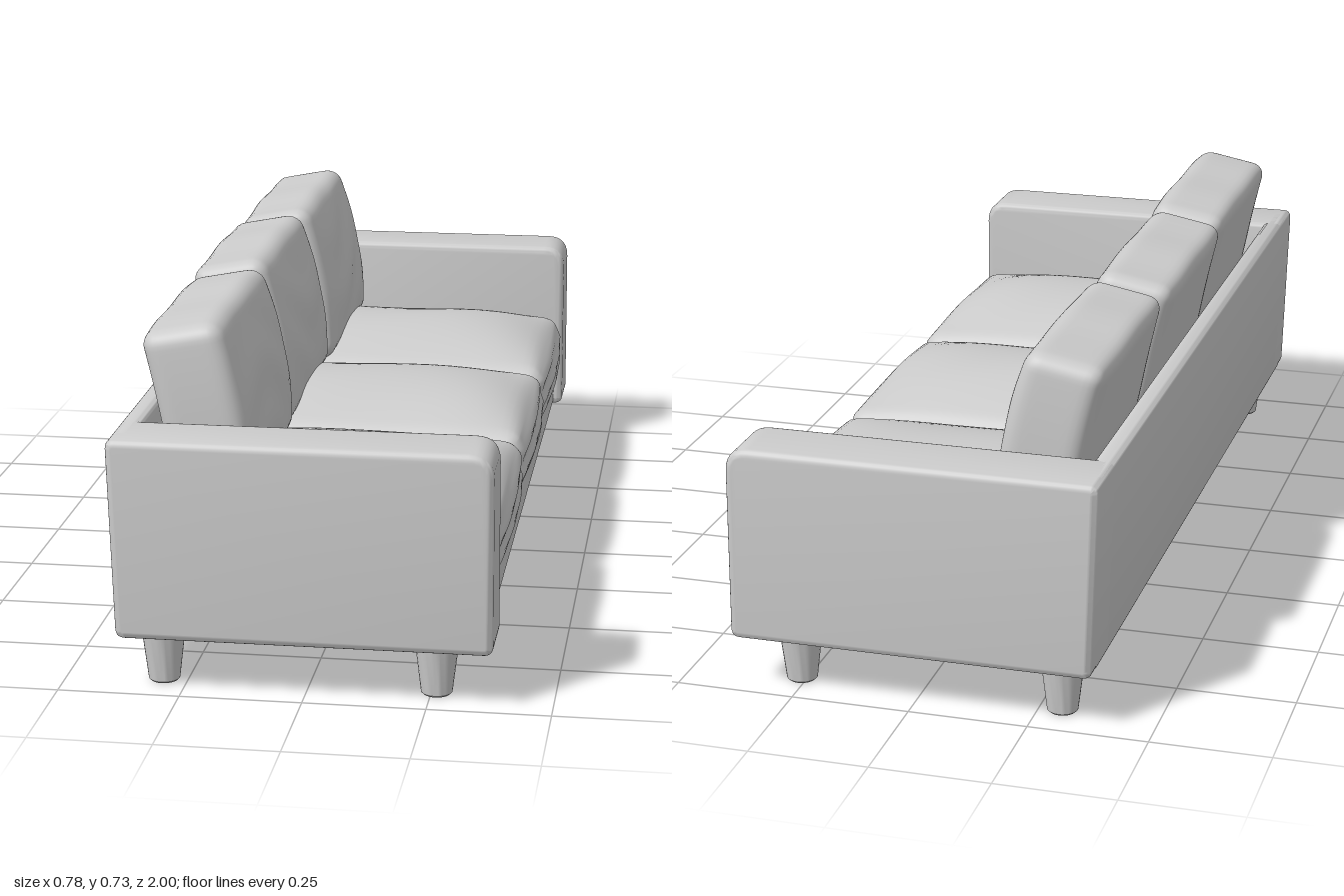
import * as THREE from 'three';
import { mergeVertices, toCreasedNormals } from 'three/addons/utils/BufferGeometryUtils.js';

const material = new THREE.MeshStandardMaterial({ color: 0xcccccc });

function addMesh(parent, name, geometry) {
  const mesh = new THREE.Mesh(geometry, material);
  mesh.name = name;
  parent.add(mesh);
  return mesh;
}

// Upholstered panel: side profile of [x, y, corner radius], extruded along z with soft edges
function panelGeometry(corners, z0, z1, bevel) {
  const pts = corners.map(([x, y]) => new THREE.Vector2(x, y));
  const n = pts.length;
  const shape = new THREE.Shape();
  pts.forEach((p, i) => {
    const r = corners[i][2];
    const towards = (q) => q.clone().sub(p).setLength(r).add(p);
    const a = towards(pts[(i + n - 1) % n]);
    const b = towards(pts[(i + 1) % n]);
    if (i === 0) shape.moveTo(a.x, a.y);
    else shape.lineTo(a.x, a.y);
    shape.quadraticCurveTo(p.x, p.y, b.x, b.y);
  });
  shape.closePath();
  const geometry = new THREE.ExtrudeGeometry(shape, {
    depth: z1 - z0 - 2 * bevel, bevelEnabled: true, bevelSize: bevel,
    bevelThickness: bevel, bevelOffset: -bevel, bevelSegments: 5, curveSegments: 7,
  });
  geometry.translate(0, 0, z0 + bevel);
  return toCreasedNormals(geometry, 0.7);
}

// Rounded soft box; deform(p, u, v, w) moves each point, with u, v, w in -1..1
function cushionGeometry(size, segments, radius, deform) {
  const box = new THREE.BoxGeometry(2, 2, 2, ...segments);
  box.deleteAttribute('uv');
  box.deleteAttribute('normal');
  const geometry = mergeVertices(box);
  const pos = geometry.attributes.position;
  const half = new THREE.Vector3(...size).multiplyScalar(0.5);
  const inner = half.clone().subScalar(radius);
  const spread = (s) => 0.4 * s + 0.6 * Math.sin((s * Math.PI) / 2);
  const p = new THREE.Vector3();
  const core = new THREE.Vector3();
  for (let i = 0; i < pos.count; i++) {
    p.fromBufferAttribute(pos, i);
    p.set(spread(p.x), spread(p.y), spread(p.z)).multiply(half);
    core.copy(p).clamp(inner.clone().negate(), inner);
    p.sub(core).setLength(radius).add(core);
    deform(p, p.x / half.x, p.y / half.y, p.z / half.z);
    pos.setXYZ(i, p.x, p.y, p.z);
  }
  geometry.computeVertexNormals();
  return geometry;
}

// Seat cushion: crowned top, creased front
function seatGeometry(width, seed) {
  return cushionGeometry([0.71, 0.14, width], [32, 14, 36], 0.035, (p, u, v, w) => {
    const top = Math.max(0, v);
    p.y += 0.062 * top * (1 - u ** 4) * (1 - w * w);
    p.y += 0.003 * top * Math.sin(5 * u + 3 * w + seed) * (1 - w * w);
    const front = Math.max(0, u) ** 4;
    p.x += front * (0.012 * (1 - w * w) * (1 - v * v)
      + 0.004 * Math.sin(9 * v + 2.5 * w + seed) * (1 - v * v));
    p.z += 0.004 * Math.sign(w) * Math.abs(w) ** 3 * (1 - v * v);
  });
}

// Back cushion: thick in the middle, pinched at the seams, with loose folds in front
function backCushionGeometry(width, seed) {
  return cushionGeometry([0.165, 0.37, width], [14, 32, 36], 0.032, (p, u, v, w) => {
    const puff = (1 - v * v) * (1 - w ** 4);
    p.x += 0.014 * u * puff;
    p.x -= 0.012 * Math.max(0, v) ** 2;
    p.x -= 0.014 * Math.max(0, u) * Math.max(0, -v) ** 2;
    const fold = Math.sin(7 * v + 3 * Math.sin(2.2 * w + seed) + seed * 2);
    p.x += 0.0035 * Math.max(0, u) * fold * (1 - v * v) * (1 - w * w);
    p.y += 0.006 * Math.max(0, v) * (1 - w * w);
    p.y += 0.002 * v * Math.sin(6 * w + seed);
    p.z -= 0.008 * Math.sign(w) * (v * v) * Math.abs(w);
  });
}

export function createModel() {
  const sofa = new THREE.Group();
  sofa.name = 'sofa';

  // Arms, with a larger curve at the top front corner
  const arm = [[-0.38, 0.115, 0.02], [0.382, 0.115, 0.02], [0.38, 0.53, 0.05], [-0.393, 0.53, 0.02]];
  addMesh(sofa, 'leftArm', panelGeometry(arm, -1, -0.847, 0.015));
  addMesh(sofa, 'rightArm', panelGeometry(arm, 0.847, 1, 0.015));

  // Back panel leaning slightly outwards
  const back = [[-0.38, 0.115, 0.015], [-0.335, 0.115, 0.005], [-0.347, 0.53, 0.015], [-0.393, 0.53, 0.02]];
  addMesh(sofa, 'backPanel', panelGeometry(back, -0.95, 0.95, 0.008));

  // Base under the seat
  const base = [[-0.37, 0.115, 0.005], [0.36, 0.115, 0.012], [0.36, 0.213, 0.015], [-0.37, 0.213, 0.005]];
  addMesh(sofa, 'base', panelGeometry(base, -0.9, 0.9, 0.005));

  // Three seat cushions and three back cushions
  const bays = [
    { z: -0.563, width: 0.545, shift: 0, seed: 0.6 },
    { z: -0.01, width: 0.54, shift: -0.008, seed: 2.1 },
    { z: 0.552, width: 0.548, shift: 0, seed: 4.3 },
  ];
  bays.forEach(({ z, width, shift, seed }, i) => {
    const seat = addMesh(sofa, `seatCushion${i + 1}`, seatGeometry(width, seed));
    seat.position.set(0.018, 0.281, z);
    const cushion = addMesh(sofa, `backCushion${i + 1}`, backCushionGeometry(width, seed));
    cushion.position.set(-0.233 + shift, 0.533, z);
    cushion.rotation.z = 0.19;
  });

  // Tapered round legs
  const legProfile = [[0, 0], [0.028, 0], [0.032, 0.004], [0.046, 0.12]]
    .map(([r, y]) => new THREE.Vector2(r, y));
  const legGeometry = toCreasedNormals(new THREE.LatheGeometry(legProfile, 28), 0.5);
  for (const x of [-0.299, 0.261]) {
    for (const z of [-0.907, 0.907]) {
      addMesh(sofa, 'leg', legGeometry).position.set(x, 0, z);
    }
  }
  return sofa;
}
